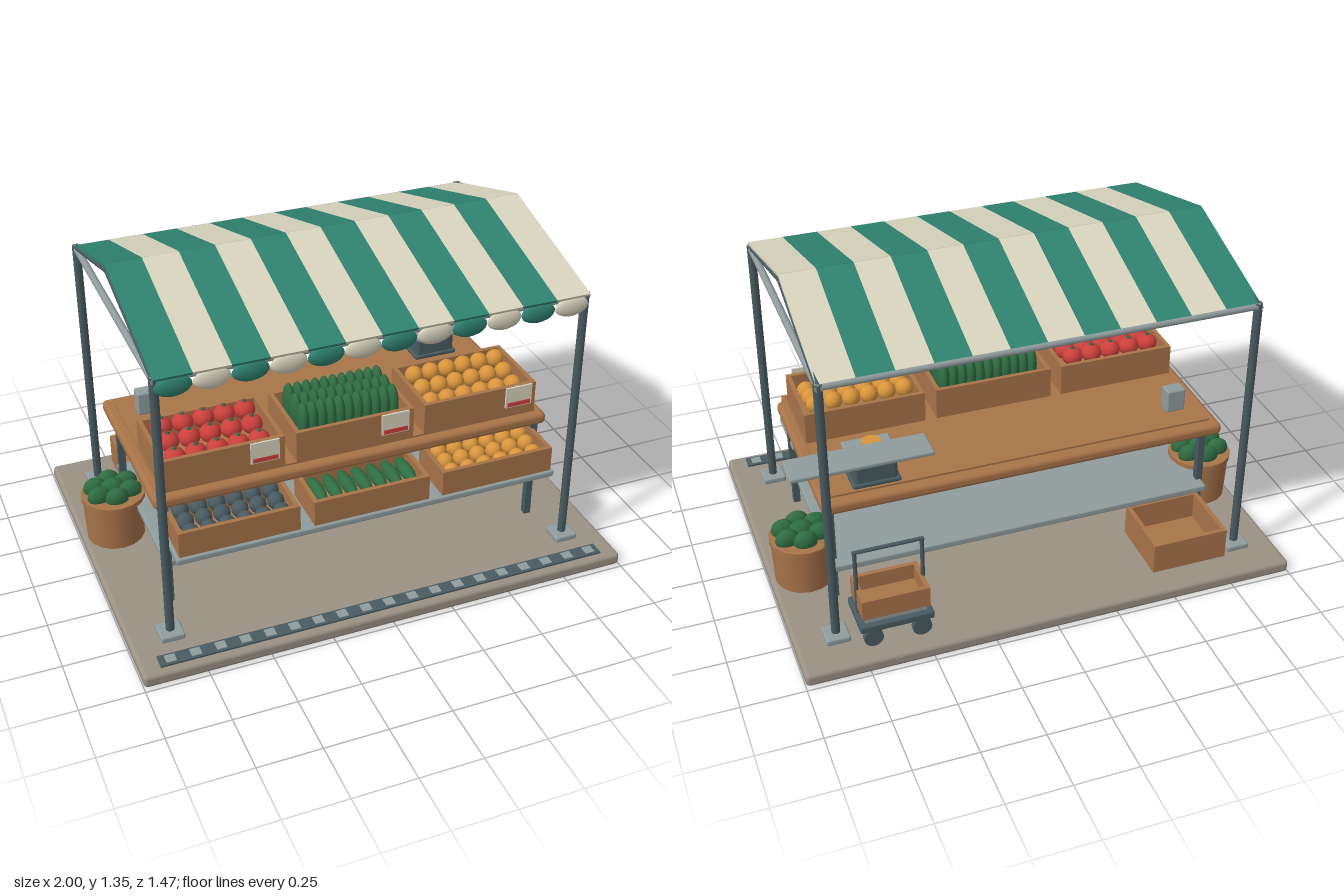
import * as THREE from 'three';
import { RoundedBoxGeometry } from 'three/addons/geometries/RoundedBoxGeometry.js';

const mat = (name, color) => {
  const m = new THREE.MeshStandardMaterial({ color });
  m.name = name;
  return m;
};
const M = {
  green: mat('awning green', 0x2f8370),
  cream: mat('cream', 0xd8d4be),
  wood: mat('wood', 0xa87449),
  stone: mat('paving', 0x9b9184),
  dark: mat('dark steel', 0x485b61),
  steel: mat('light steel', 0x909d9d),
  red: mat('tomato red', 0xcc403b),
  orange: mat('orange', 0xd8953c),
  leaf: mat('vegetable green', 0x2f6d42),
};

function add(parent, name, geo, material, x = 0, y = 0, z = 0) {
  const mesh = new THREE.Mesh(geo, material);
  mesh.name = name;
  mesh.position.set(x, y, z);
  parent.add(mesh);
  return mesh;
}
const box = (p, name, m, w, h, d, x, y, z) => add(p, name, new THREE.BoxGeometry(w, h, d), m, x, y, z);
const slab = (p, name, m, w, h, d, x, y, z, r) => add(p, name, new RoundedBoxGeometry(w, h, d, 2, r), m, x, y, z);
const cyl = (p, name, m, r1, r2, h, x, y, z, n = 16) => add(p, name, new THREE.CylinderGeometry(r1, r2, h, n), m, x, y, z);

// Round bar between two points
function bar(p, name, m, a, b, r) {
  const A = new THREE.Vector3(...a), B = new THREE.Vector3(...b);
  const mesh = add(p, name, new THREE.CylinderGeometry(r, r, A.distanceTo(B), 10), m);
  mesh.position.copy(A).add(B).multiplyScalar(0.5);
  mesh.quaternion.setFromUnitVectors(new THREE.Vector3(0, 1, 0), B.sub(A).normalize());
  return mesh;
}

const ball = new THREE.SphereGeometry(1, 14, 10);
function blob(p, name, m, x, y, z, rx, ry = rx, rz = rx) {
  const mesh = add(p, name, ball, m, x, y, z);
  mesh.scale.set(rx, ry, rz);
  return mesh;
}

// Open wooden crate; its origin is the centre of the underside
function crate(parent, name, w, h, d, x, y, z) {
  const g = new THREE.Group(), t = 0.018;
  g.name = name;
  g.position.set(x, y, z);
  box(g, 'crateFloor', M.wood, w, t, d, 0, t / 2, 0);
  for (const s of [-1, 1]) {
    box(g, 'crateSide', M.wood, w, h, t, 0, h / 2, s * (d - t) / 2);
    box(g, 'crateEnd', M.wood, t, h, d - 2 * t, s * (w - t) / 2, h / 2, 0);
  }
  parent.add(g);
  return g;
}

// Rows of produce, each row a step higher towards the back
function fill(g, name, m, cols, rows, dx, dz, y, step, r) {
  for (let j = 0; j < rows; j++)
    for (let i = 0; i < cols; i++)
      blob(g, name, m, (i - (cols - 1) / 2) * dx, y + j * step, ((rows - 1) / 2 - j) * dz, ...r);
}

export function createModel() {
  const root = new THREE.Group();
  root.name = 'marketStall';

  // Paved base with drain grate
  slab(root, 'base', M.stone, 2, 0.055, 1.474, 0, 0.0275, 0, 0.018);
  box(root, 'drain', M.dark, 1.85, 0.008, 0.06, 0, 0.058, 0.675);
  for (let i = 0; i < 19; i++)
    box(root, 'drainSlot', M.steel, 0.04, 0.004, 0.04, -0.88 + i * 0.098, 0.063, 0.675);

  // Frame: posts, feet, rails and rafters
  const zf = 0.535, zb = -0.557, zr = -0.035, yr = 1.172;
  for (const s of [-1, 1]) {
    const x = s * 0.838;
    for (const z of [zf, zb]) {
      bar(root, 'post', M.dark, [x, 0.055, z], [x, 1.185, z], 0.017);
      slab(root, 'postFoot', M.steel, 0.095, 0.027, 0.095, x, 0.067, z, 0.008);
      bar(root, 'rafter', M.dark, [x, yr + 0.005, z], [x, 1.32, zr], 0.011);
    }
    bar(root, 'sideRail', M.steel, [x, yr, zf + 0.015], [x, yr, zb - 0.015], 0.014);
  }
  for (const z of [zf, zb]) bar(root, 'longRail', M.steel, [-0.85, yr, z], [0.85, yr, z], 0.014);
  bar(root, 'ridgeBar', M.dark, [-0.845, 1.318, zr], [0.845, 1.318, zr], 0.011);

  // Striped awning with scalloped front edge
  const slope = (name, m, x, w, z1, y1, z2, y2) => {
    const dz = z2 - z1, dy = y2 - y1;
    const b = box(root, name, m, w, 0.01, Math.hypot(dz, dy), x, (y1 + y2) / 2, (z1 + z2) / 2);
    b.rotation.x = -Math.atan2(dy, dz);
  };
  const sw = 1.69 / 12;
  for (let i = 0; i < 12; i++) {
    const x = -0.845 + (i + 0.5) * sw, m = i % 2 ? M.cream : M.green;
    slope('awningFront', m, x, sw, -0.04, 1.342, 0.56, 1.184);
    slope('awningBack', m, x, sw, -0.56, 1.18, -0.04, 1.342);
    blob(root, 'scallop', m, x, 1.145, 0.55, sw / 2, 0.041, 0.018);
  }

  // Hanging lamp
  bar(root, 'lampRod', M.dark, [0, 1.07, -0.025], [0, 1.32, -0.025], 0.006);
  blob(root, 'lampBulb', M.orange, 0, 0.985, -0.025, 0.034);
  const shade = add(root, 'lampShade', new THREE.SphereGeometry(1, 16, 8), M.cream, 0, 1.028, -0.025);
  shade.scale.set(0.12, 0.056, 0.12);

  // Table with lower shelf and front display shelf
  slab(root, 'tableTop', M.wood, 1.65, 0.052, 0.77, 0, 0.526, -0.02, 0.02);
  box(root, 'tableBoard', M.wood, 1.57, 0.01, 0.69, 0, 0.555, -0.015);
  for (const x of [-0.78, 0.78])
    for (const z of [0.337, -0.317]) box(root, 'tableLeg', M.dark, 0.028, 0.455, 0.028, x, 0.28, z);
  slab(root, 'lowerShelf', M.steel, 1.58, 0.03, 0.72, 0, 0.226, -0.02, 0.008);
  slab(root, 'displayShelf', M.steel, 1.58, 0.028, 0.235, 0, 0.361, 0.398, 0.008);

  // Upper crates with produce and price cards
  const upper = [-0.537, 0, 0.537].map((x) => {
    const g = crate(root, 'upperCrate', 0.49, 0.13, 0.32, x, 0.56, 0.17);
    box(g, 'priceCard', M.cream, 0.115, 0.09, 0.008, 0.158, 0.095, 0.18);
    box(g, 'priceStripe', M.red, 0.1, 0.018, 0.004, 0.158, 0.064, 0.185);
    box(g, 'cardClip', M.steel, 0.02, 0.02, 0.02, 0.158, 0.12, 0.166);
    return g;
  });
  fill(upper[0], 'tomato', M.red, 5, 3, 0.084, 0.085, 0.092, 0.017, [0.043, 0.038, 0.043]);
  for (let i = 0; i < 15; i++) {
    const j = Math.floor(i / 5);
    cyl(upper[0], 'tomatoStem', M.leaf, 0.006, 0.011, 0.008, (i % 5 - 2) * 0.084, 0.132 + j * 0.017, (1 - j) * 0.085, 6);
  }
  fill(upper[1], 'cucumber', M.leaf, 11, 3, 0.0375, 0.076, 0.125, 0, [0.024, 0.08, 0.041]);
  fill(upper[2], 'orange', M.orange, 6, 3, 0.073, 0.08, 0.09, 0.017, [0.037]);

  // Lower crates
  const lower = [-0.537, 0, 0.537].map((x) => crate(root, 'lowerCrate', 0.48, 0.107, 0.22, x, 0.375, 0.395));
  fill(lower[0], 'plum', M.dark, 6, 3, 0.072, 0.062, 0.07, 0.008, [0.034]);
  fill(lower[1], 'marrow', M.leaf, 7, 1, 0.062, 0, 0.08, 0, [0.027, 0.028, 0.088]);
  fill(lower[2], 'smallOrange', M.orange, 6, 3, 0.072, 0.062, 0.07, 0.008, [0.034]);

  // Weighing scale, jar, raised shelf and cash box
  slab(root, 'scaleBody', M.dark, 0.17, 0.085, 0.14, 0.595, 0.61, -0.277, 0.015);
  slab(root, 'scaleFoot', M.dark, 0.19, 0.02, 0.155, 0.595, 0.57, -0.277, 0.008);
  slab(root, 'scalePan', M.steel, 0.19, 0.018, 0.178, 0.595, 0.666, -0.272, 0.008);
  cyl(root, 'jar', M.orange, 0.037, 0.037, 0.05, 0.595, 0.7, -0.288);
  slab(root, 'raisedShelf', M.steel, 0.545, 0.018, 0.135, 0.673, 0.738, -0.4, 0.006);
  slab(root, 'cashBox', M.steel, 0.08, 0.1, 0.06, -0.68, 0.61, -0.24, 0.008);

  // Round baskets of melons
  for (const s of [-1, 1]) {
    const g = new THREE.Group();
    g.name = 'basket';
    g.position.set(s * 0.863, 0, -0.16);
    root.add(g);
    cyl(g, 'basketBody', M.wood, 0.126, 0.118, 0.185, 0, 0.15, 0);
    cyl(g, 'basketRim', M.wood, 0.131, 0.131, 0.02, 0, 0.25, 0);
    blob(g, 'melon', M.leaf, 0, 0.283, 0, 0.05, 0.042, 0.034);
    for (let i = 0; i < 6; i++) {
      const a = i * Math.PI / 3 + 0.5;
      blob(g, 'melon', M.leaf, Math.cos(a) * 0.075, 0.275, Math.sin(a) * 0.068, 0.048, 0.045, 0.032);
    }
  }

  // Empty crate behind the table
  crate(root, 'emptyCrate', 0.315, 0.13, 0.28, -0.595, 0.08, -0.505);

  // Trolley with a small crate and handle
  const t = new THREE.Group();
  t.name = 'trolley';
  t.position.set(0.62, 0, -0.562);
  root.add(t);
  slab(t, 'trolleyDeck', M.dark, 0.29, 0.032, 0.195, 0, 0.14, 0, 0.008);
  crate(t, 'trolleyCrate', 0.265, 0.085, 0.17, 0, 0.18, 0);
  box(t, 'trolleyPad', M.steel, 0.24, 0.026, 0.15, 0, 0.168, 0);
  for (const x of [-0.095, 0.095])
    for (const z of [-0.086, 0.08]) cyl(t, 'wheel', M.dark, 0.038, 0.038, 0.022, x, 0.095, z).rotation.x = Math.PI / 2;
  for (const s of [-1, 1]) bar(t, 'handlePole', M.dark, [s * 0.13, 0.15, 0], [s * 0.13, 0.44, 0], 0.008);
  bar(t, 'handleGrip', M.dark, [-0.138, 0.437, 0], [0.138, 0.437, 0], 0.008);

  return root;
}
